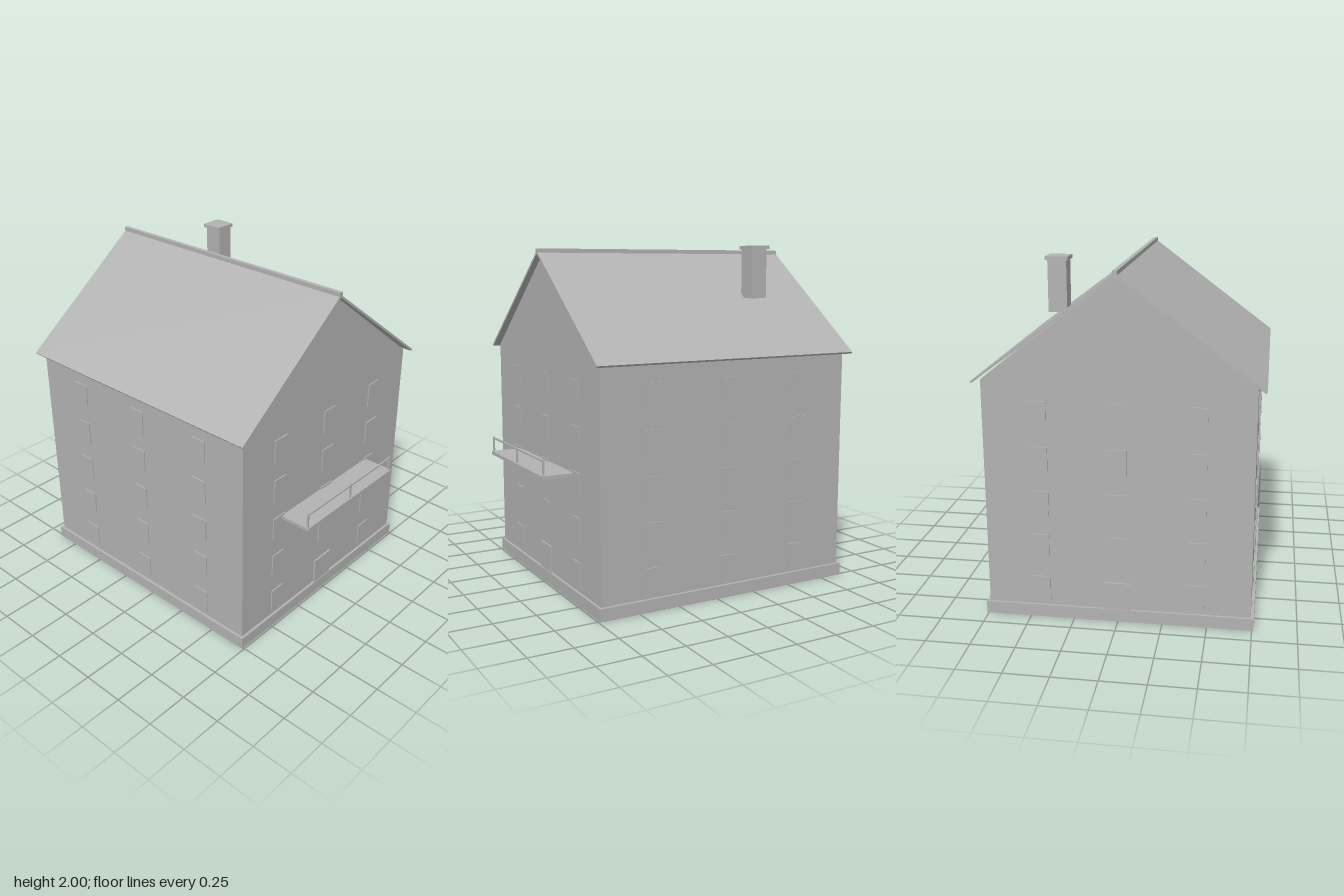
import * as THREE from 'three';

export function createModel() {
  const model = new THREE.Group();
  model.name = 'house';
  const grey = new THREE.MeshStandardMaterial({ color: 0xb2b2b2 });
  grey.name = 'plain grey';

  // Wall planes
  const W = 0.742, FRONT = 0.725, BACK = -0.88;
  const MID = (FRONT + BACK) / 2;

  function add(name, geometry) {
    const mesh = new THREE.Mesh(geometry, grey);
    mesh.name = name;
    model.add(mesh);
    return mesh;
  }
  // Box given by its low and high corners
  function box(name, x0, x1, y0, y1, z0, z1) {
    const mesh = add(name, new THREE.BoxGeometry(x1 - x0, y1 - y0, z1 - z0));
    mesh.position.set((x0 + x1) / 2, (y0 + y1) / 2, (z0 + z1) / 2);
    return mesh;
  }
  // Front outline extruded along z
  function prism(name, points, z0, z1) {
    const shape = new THREE.Shape(points.map(([x, y]) => new THREE.Vector2(x, y)));
    const geometry = new THREE.ExtrudeGeometry(shape, { depth: z1 - z0, bevelEnabled: false });
    add(name, geometry.translate(0, 0, z0));
  }

  // Plinth and gabled walls
  box('plinth', -0.76, 0.76, 0, 0.072, -0.895, 0.74);
  prism('walls', [[-W, 0.07], [W, 0.07], [W, 1.38], [0, 1.948], [-W, 1.38]], BACK, FRONT);

  // Thin roof slabs, ridge and chimney
  prism('roof', [[0, 1.949], [0.78, 1.366], [0.788, 1.376], [0, 1.965],
    [-0.788, 1.376], [-0.78, 1.366]], -0.917, 0.76);
  box('ridgeCap', -0.012, 0.012, 1.953, 1.98, -0.917, 0.76);
  box('chimney', 0.334, 0.44, 1.69, 1.981, -0.532, -0.426);
  box('chimneyCap', 0.322, 0.45, 1.98, 2, -0.547, -0.419);

  // Front and back doors
  const DOOR = 0.077;
  box('frontDoor', -DOOR, DOOR, 0.06, 0.232, FRONT - 0.005, FRONT + 0.011);
  box('backDoor', -DOOR, DOOR, 0.06, 0.232, BACK - 0.011, BACK + 0.005);

  // Window plates: five floors, three columns on every wall
  const H = 0.05, T = 0.007;
  for (let floor = 0; floor < 5; floor++) {
    const y0 = 0.103 + floor * 0.256, y1 = y0 + 0.143;
    for (const col of [-1, 0, 1]) {
      const x = col * 0.435, z = MID + col * 0.482;
      box('rightWindow', -W - T, -W, y0, y1, z - H, z + H);
      box('leftWindow', W, W + T, y0, y1, z - H, z + H);
      if (floor === 0 && col === 0) continue; // doors take this place
      box('frontWindow', x - H, x + H, y0, y1, FRONT, FRONT + T);
      box('backWindow', x - H, x + H, y0, y1, BACK - T, BACK);
    }
  }

  // Balcony with a front railing
  box('balconyFloor', -0.41, 0.41, 0.725, 0.745, FRONT - 0.005, 0.917);
  box('balconyRail', -0.405, 0.405, 0.823, 0.833, 0.899, 0.909);
  for (const x of [-0.4, 0, 0.4]) {
    box('balconyPost', x - 0.005, x + 0.005, 0.744, 0.835, 0.899, 0.909);
  }

  return model;
}
